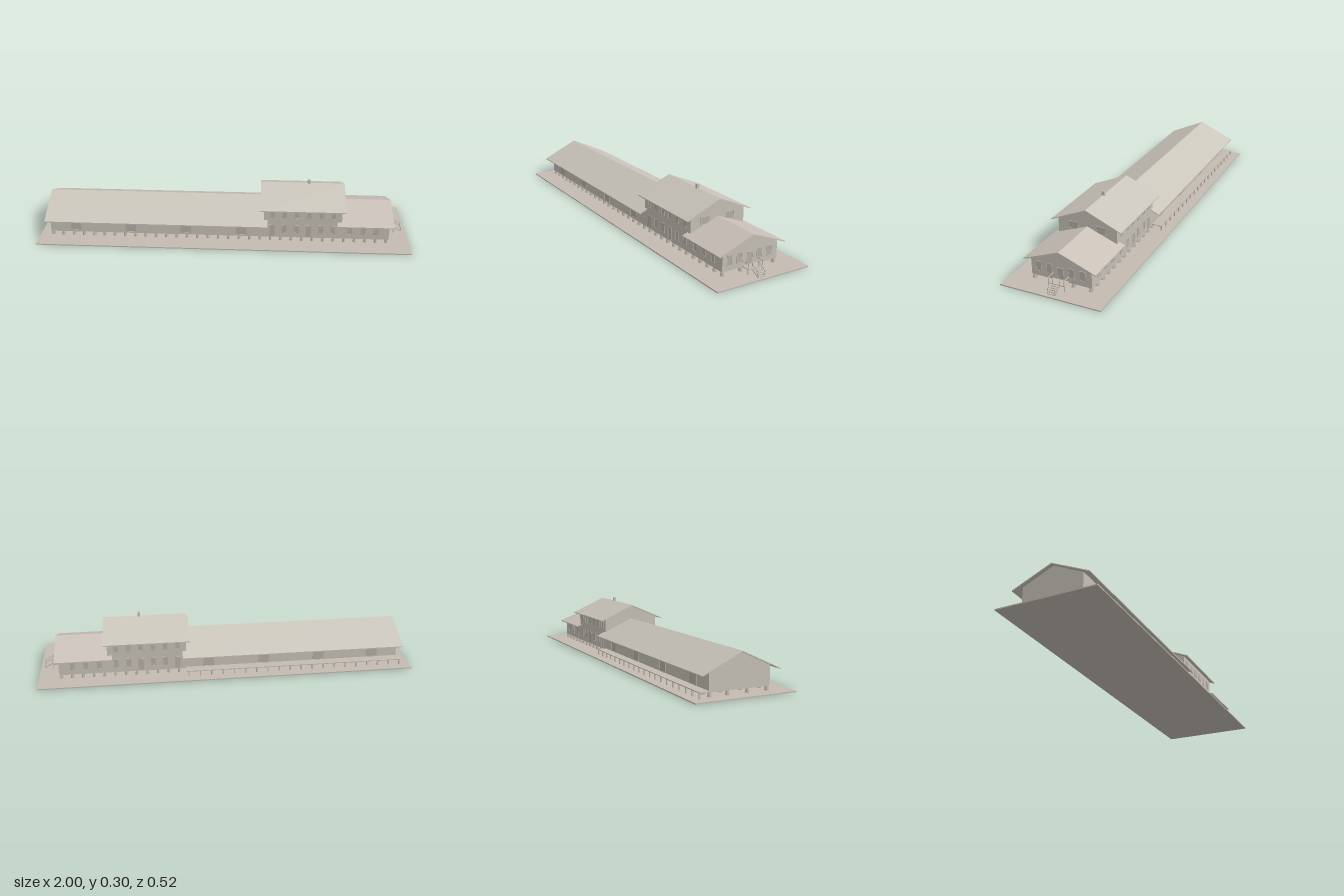
import * as THREE from 'three';

const mat = (name, color) => {
  const m = new THREE.MeshStandardMaterial({ color });
  m.name = name;
  return m;
};

export function createModel() {
  const model = new THREE.Group();
  model.name = 'stationBuilding';
  const wall = mat('wall', 0xc6c0b6);
  const roof = mat('roof', 0xcac5bb);
  const warmRoof = mat('warmRoof', 0xcac1b9);
  const ground = mat('ground', 0xc4bbb1);
  const timber = mat('timber', 0xc2bbb1);
  const pane = mat('pane', 0xb4aea5);

  const FRONT = 0.155, BACK = -0.16, RIDGE = -0.003, FLOOR = 0.028, BASE = 0.006;

  const add = (name, geometry, material, parent = model) => {
    const mesh = new THREE.Mesh(geometry, material);
    mesh.name = name;
    parent.add(mesh);
    return mesh;
  };
  const group = (name) => {
    const g = new THREE.Group();
    g.name = name;
    model.add(g);
    return g;
  };
  // box given by its limits on each axis
  const box = (name, [x0, x1], [y0, y1], [z0, z1], material, parent) => {
    const mesh = add(name, new THREE.BoxGeometry(x1 - x0, y1 - y0, z1 - z0), material, parent);
    mesh.position.set((x0 + x1) / 2, (y0 + y1) / 2, (z0 + z1) / 2);
    return mesh;
  };
  // cross-section of [z, y] points extruded along x
  const prism = (name, points, x0, x1, material) => {
    const shape = new THREE.Shape(points.map(([z, y]) => new THREE.Vector2(-z, y)));
    const geometry = new THREE.ExtrudeGeometry(shape, { depth: x1 - x0, bevelEnabled: false });
    geometry.rotateY(Math.PI / 2).translate(x0, 0, 0);
    return add(name, geometry, material);
  };
  // thin square beam between two points
  const beam = (name, a, b, size, material, parent) => {
    const p = new THREE.Vector3(...a), q = new THREE.Vector3(...b);
    const mesh = add(name, new THREE.BoxGeometry(size, size, p.distanceTo(q)), material, parent);
    mesh.position.copy(p).add(q).multiplyScalar(0.5);
    mesh.lookAt(q);
    return mesh;
  };

  // ground slab
  box('groundSlab', [-1, 1], [0, BASE], [-0.26, 0.26], ground);

  // three gabled sections: walls plus overhanging roof
  const section = (name, wx, rx, ridge, eave, zFront, zBack, material) => {
    const t = 0.005;
    const slope = (ridge - eave) / (zFront - RIDGE);
    const under = (z) => ridge - t - Math.abs(z - RIDGE) * slope;
    prism(name + 'Walls', [
      [FRONT, FLOOR], [BACK, FLOOR], [BACK, under(BACK)], [RIDGE, ridge - t], [FRONT, under(FRONT)],
    ], wx[0], wx[1], wall);
    prism(name + 'Roof', [
      [zFront, eave], [RIDGE, ridge], [zBack, eave],
      [zBack, eave - t], [RIDGE, ridge - t], [zFront, eave - t],
    ], rx[0], rx[1], material);
  };
  section('freightHall', [-0.94, 0.23], [-0.96, 0.24], 0.202, 0.109, 0.198, -0.205, roof);
  section('tallHouse', [0.22, 0.635], [0.2, 0.652], 0.28, 0.199, 0.184, -0.19, roof);
  section('eastWing', [0.62, 0.89], [0.61, 0.91], 0.187, 0.115, 0.184, -0.19, warmRoof);

  // chimney
  box('chimney', [0.453, 0.467], [0.26, 0.3], [-0.01, 0.004], wall);

  // windows and doors: a pane with four trim strips, placed flat on a wall
  const openings = group('openings');
  const opening = (name, x, z, angle, y0, y1, w) => {
    const g = new THREE.Group();
    g.name = name;
    g.position.set(x, 0, z);
    g.rotation.y = angle;
    openings.add(g);
    const f = 0.003, h = w / 2;
    box('pane', [-h, h], [y0, y1], [-0.0005, 0.0008], pane, g);
    for (const s of [-1, 1]) {
      box('sideTrim', [s * h - f / 2, s * h + f / 2], [y0, y1], [-0.0005, 0.002], timber, g);
    }
    for (const y of [y0, y1]) {
      box('crossTrim', [-h - f / 2, h + f / 2], [y - f / 2, y + f / 2], [-0.0005, 0.0022], timber, g);
    }
  };
  for (const [z, angle] of [[FRONT, 0], [BACK, Math.PI]]) {
    for (const x of [0.265, 0.33, 0.395, 0.46, 0.525, 0.59]) opening('upperWindow', x, z, angle, 0.145, 0.187, 0.024);
    for (const x of [0.33, 0.395, 0.525, 0.59, 0.68, 0.75, 0.82]) opening('lowerWindow', x, z, angle, 0.055, 0.102, 0.026);
    for (const x of [0.265, 0.46]) opening('houseDoor', x, z, angle, 0.034, 0.1, 0.03);
    for (const x of [-0.8, -0.5, -0.2, 0.1]) opening('freightDoor', x, z, angle, 0.037, 0.1, 0.06);
  }
  for (const z of [0.115, 0.06, -0.055, -0.113]) opening('endWindow', 0.89, z, Math.PI / 2, 0.055, 0.104, 0.027);
  opening('endDoor', 0.89, 0, Math.PI / 2, 0.036, 0.095, 0.03);
  for (const z of [0.07, -0.075]) opening('gableWindow', 0.635, z, Math.PI / 2, 0.16, 0.198, 0.05);

  // tapered foundation piers
  const piers = group('piers');
  const pierShape = new THREE.CylinderGeometry(0.0075, 0.0115, FLOOR - BASE + 0.002, 4);
  pierShape.rotateY(Math.PI / 4);
  for (let i = 0; i < 33; i++) {
    for (const z of [0.146, 0.043, -0.06, -0.151]) {
      const pier = add('pier', pierShape, timber, piers);
      pier.position.set(-0.93 + i * (1.81 / 32), (FLOOR + BASE) / 2, z);
    }
  }

  // loading deck along the back of the freight hall
  const deck = group('loadingDeck');
  box('deckBoards', [-0.95, 0.22], [0.032, 0.036], [-0.212, BACK], timber, deck);
  for (let i = 0; i < 20; i++) {
    const x = -0.945 + i * (1.155 / 19);
    box('deckPost', [x - 0.003, x + 0.003], [BASE, 0.032], [-0.212, -0.206], timber, deck);
  }

  // east entrance: landing, steps and rails
  const stairs = group('entranceStairs');
  box('landing', [0.89, 0.935], [0.031, 0.035], [-0.042, 0.042], timber, stairs);
  for (let i = 0; i < 5; i++) {
    const x = 0.935 + i * 0.009, y = 0.031 - i * 0.0055;
    box('step', [x, x + 0.01], [y - 0.004, y], [-0.018, 0.018], timber, stairs);
  }
  for (const s of [-1, 1]) {
    const z = s * 0.041, inner = s * 0.019;
    beam('landingRail', [0.89, 0.06, z], [0.935, 0.06, z], 0.003, timber, stairs);
    beam('landingPost', [0.933, BASE, z], [0.933, 0.061, z], 0.003, timber, stairs);
    beam('stairRail', [0.934, 0.06, inner], [0.978, 0.034, inner], 0.003, timber, stairs);
    beam('stairPost', [0.934, 0.035, inner], [0.934, 0.061, inner], 0.003, timber, stairs);
    beam('lowerPost', [0.977, BASE, inner], [0.977, 0.035, inner], 0.003, timber, stairs);
    beam('stringer', [0.934, 0.031, inner], [0.978, 0.007, inner], 0.004, timber, stairs);
  }
  return model;
}
